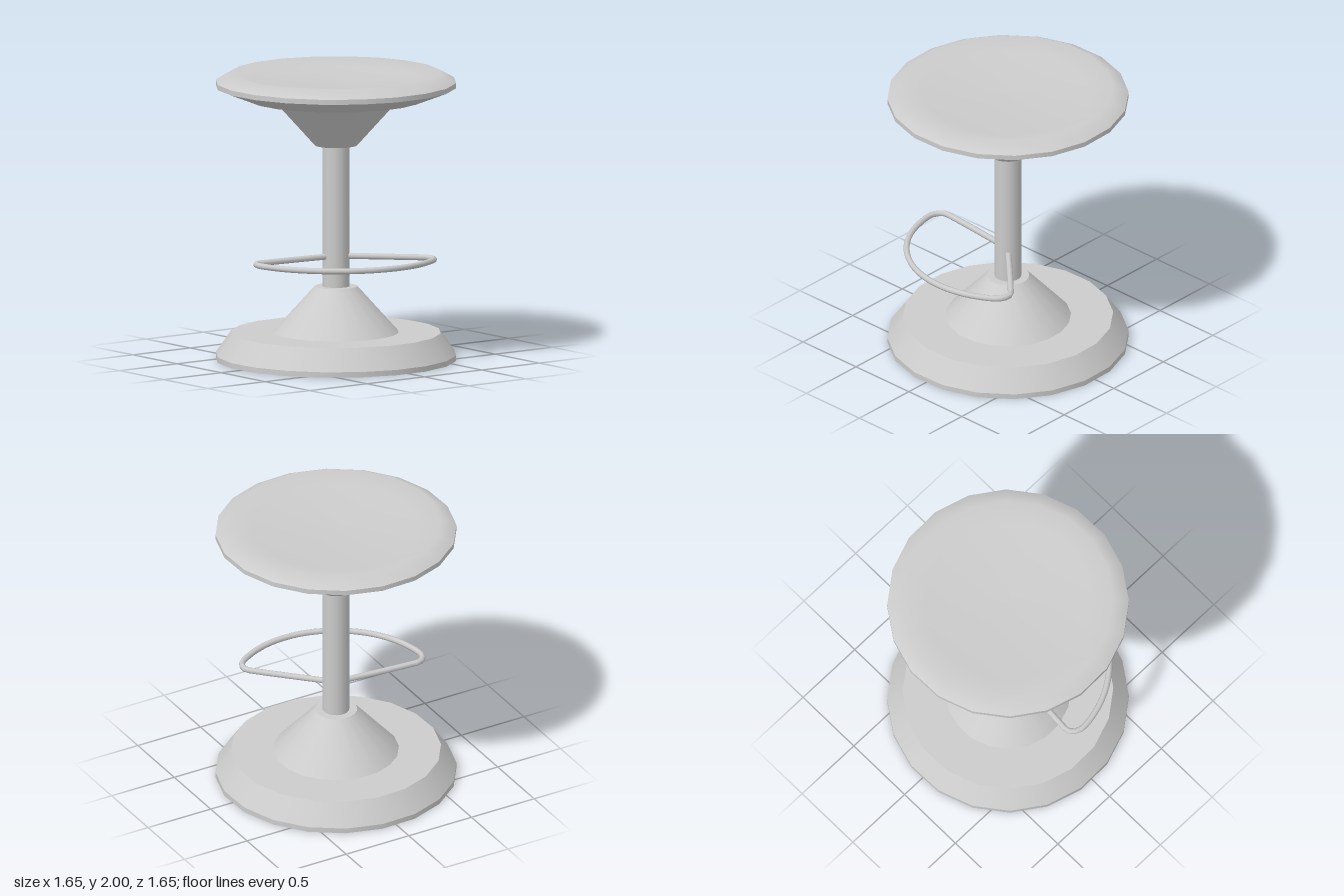
import * as THREE from 'three';

const SIDES = 20;
const START = THREE.MathUtils.degToRad(10.5);
const material = new THREE.MeshStandardMaterial({ color: 0xcccccc });

// Turned part: each section is smooth, edges between sections stay sharp.
function turned(name, sections) {
  const part = new THREE.Group();
  part.name = name;
  sections.forEach((section, i) => {
    const points = section.map(([r, y]) => new THREE.Vector2(r, y));
    const mesh = new THREE.Mesh(new THREE.LatheGeometry(points, SIDES, START), material);
    mesh.name = `${name}Surface${i + 1}`;
    part.add(mesh);
  });
  return part;
}

// Splits a profile into one sharp-edged section per segment.
const sharp = (profile) => profile.slice(1).map((p, i) => [profile[i], p]);

// Foot rest: two spokes joined by an arc around the post.
function createFootRest() {
  const axis = 25, height = 0.722;
  const at = (deg, r) => {
    const a = THREE.MathUtils.degToRad(axis + deg);
    return new THREE.Vector3(r * Math.cos(a), height, r * Math.sin(a));
  };
  const corner = [[70, 0.04], [70, 0.58], [69.5, 0.645], [64, 0.695]];
  const path = corner.map(([d, r]) => at(d, r));
  for (let d = 48; d >= -48; d -= 16) path.push(at(d, 0.7));
  corner.reverse().forEach(([d, r]) => path.push(at(-d, r)));
  const curve = new THREE.CatmullRomCurve3(path, false, 'centripetal');
  const mesh = new THREE.Mesh(new THREE.TubeGeometry(curve, 72, 0.021, 8), material);
  mesh.name = 'footRest';
  return mesh;
}

export function createModel() {
  const model = new THREE.Group();
  model.name = 'barStool';

  // Heavy round foot with a bevelled edge
  model.add(turned('base', sharp([[0, 0], [0.834, 0], [0.834, 0.037], [0.727, 0.19], [0.43, 0.19]])));
  // Cone rising to the post
  model.add(turned('baseCone', sharp([[0.435, 0.19], [0.147, 0.51], [0.085, 0.51]])));
  model.add(turned('post', [[[0.093, 0.5], [0.093, 1.5]]]));
  model.add(createFootRest());
  // Cone carrying the seat
  model.add(turned('seatCone', sharp([[0.085, 1.495], [0.147, 1.495], [0.435, 1.815]])));
  // Seat shell and softly dished top
  model.add(turned('seat', [
    ...sharp([[0.43, 1.815], [0.605, 1.815], [0.834, 1.905], [0.834, 1.94]]),
    [[0.834, 1.94], [0.727, 2.0], [0.58, 1.955], [0, 1.945]],
  ]));

  return model;
}
